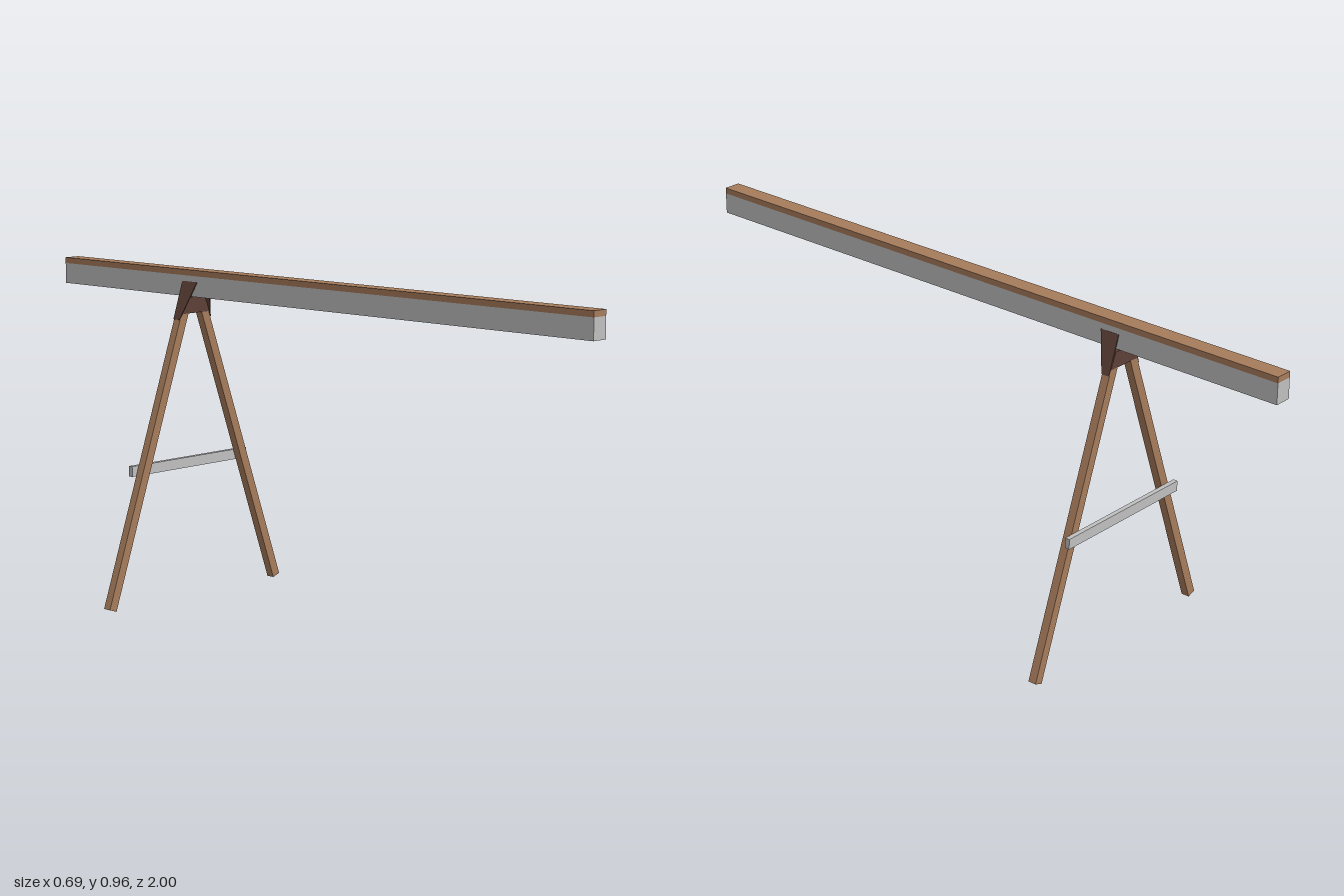
import * as THREE from 'three';

const material = (name, color) => {
  const m = new THREE.MeshStandardMaterial({ color });
  m.name = name;
  return m;
};

export function createModel() {
  const wood = material('wood', 0xa67b5b);
  const metal = material('grey metal', 0xc0c0c0);
  const bracket = material('dark bracket', 0x5d4037);
  const model = new THREE.Group();
  model.name = 'trestle';

  const add = (name, geometry, mat, x = 0, y = 0, z = 0) => {
    const mesh = new THREE.Mesh(geometry, mat);
    mesh.name = name;
    mesh.position.set(x, y, z);
    model.add(mesh);
    return mesh;
  };
  const extrude = (points, depth) => new THREE.ExtrudeGeometry(
    new THREE.Shape(points.map(p => new THREE.Vector2(...p))),
    { depth, bevelEnabled: false });

  // Long beam with its wooden cap
  add('beam', new THREE.BoxGeometry(0.05, 0.06, 2), metal, 0, 0.915, 0);
  add('beamCap', new THREE.BoxGeometry(0.05, 0.017, 2), wood, 0, 0.9535, 0);

  // Gusset joining the tops of the legs
  add('gusset', extrude([[-0.056, 0.836], [0.056, 0.836], [0.037, 0.882], [-0.037, 0.882]], 0.028),
    bracket, 0, 0, -0.491);

  // Splayed legs and the sheet flaps lying against their outer faces
  const tilt = 0.339, legLength = 0.89;
  for (const side of [1, -1]) {
    const name = side > 0 ? 'left' : 'right';
    const leg = add(name + 'Leg', new THREE.BoxGeometry(0.0266, legLength, 0.025), wood,
      side * (0.3325 - Math.sin(tilt) * legLength / 2),
      0.0075 + Math.cos(tilt) * legLength / 2, -0.4775);
    leg.rotation.z = side * tilt;

    // Profile is drawn as (-z, height), then turned to stand beside the beam
    const flap = extrude([[0.43, 0.114], [0.465, 0], [0.49, 0], [0.49, 0.114]], 0.003);
    flap.rotateY(Math.PI / 2);
    flap.translate(-0.0015, 0, 0);
    const mesh = add(name + 'Flap', flap, bracket, side * 0.0615, 0.82, 0);
    mesh.rotation.z = side * 0.325;
  }

  // Cross brace on the back of the legs
  add('crossBrace', new THREE.BoxGeometry(0.46, 0.03, 0.014), metal, 0, 0.395, -0.497);
  return model;
}
